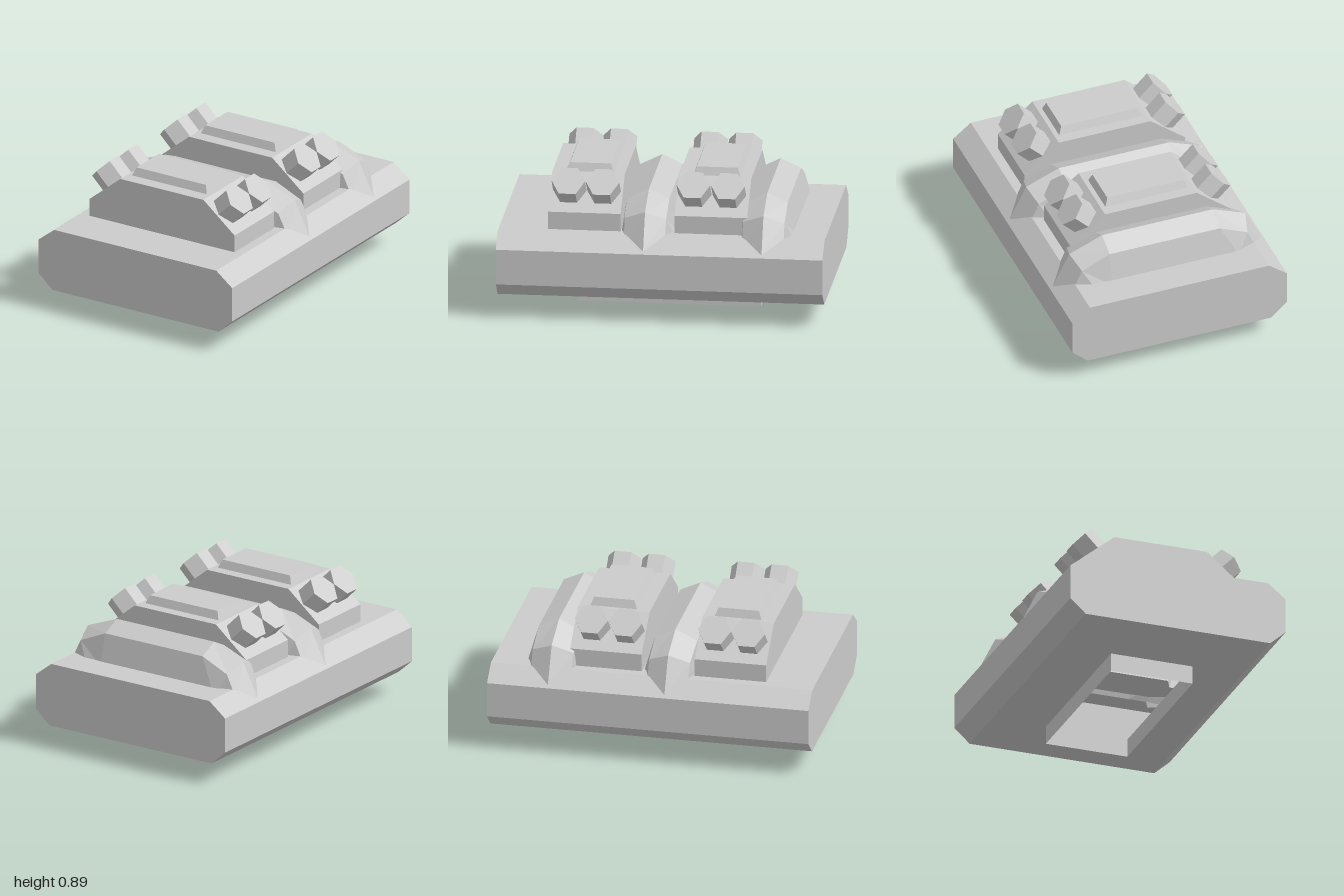
import * as THREE from 'three';

const solid = new THREE.MeshStandardMaterial({ color: 0xcccccc, flatShading: true });
const shell = new THREE.MeshStandardMaterial({ color: 0xcccccc, flatShading: true, side: THREE.DoubleSide });

function add(parent, name, geometry, material = solid) {
  const mesh = new THREE.Mesh(geometry, material);
  mesh.name = name;
  parent.add(mesh);
  return mesh;
}

// Flat-faced skin through cross-sections that have equal point counts
function loft(sections, closed = false) {
  const pos = [];
  const n = sections[0].length;
  for (let i = 0; i < sections.length - 1; i++) {
    for (let j = 0; j < (closed ? n : n - 1); j++) {
      const k = (j + 1) % n;
      const a = sections[i][j], b = sections[i][k], c = sections[i + 1][k], d = sections[i + 1][j];
      pos.push(...a, ...b, ...c, ...a, ...c, ...d);
    }
  }
  const g = new THREE.BufferGeometry();
  g.setAttribute('position', new THREE.Float32BufferAttribute(pos, 3));
  g.computeVertexNormals();
  return g;
}

const mirrored = (half) => [...half, ...half.map(([x, y]) => [-x, y]).reverse()];
const toShape = (pts) => new THREE.Shape(pts.map(([x, y]) => new THREE.Vector2(x, y)));
const ring = (x, y, zBack, zFront) => [[x, y, zBack], [x, y, zFront], [-x, y, zFront], [-x, y, zBack]];

// Box whose top is inset on all sides
function bevelledPlate(w, h, d, inset) {
  const g = new THREE.BoxGeometry(w, h, d);
  const p = g.attributes.position;
  for (let i = 0; i < p.count; i++) {
    if (p.getY(i) > 0) {
      p.setX(i, p.getX(i) - Math.sign(p.getX(i)) * inset);
      p.setZ(i, p.getZ(i) - Math.sign(p.getZ(i)) * inset);
    }
  }
  g.computeVertexNormals();
  return g;
}

// Hollow chamfered base with an open-bottomed collar
function makeBase() {
  const base = new THREE.Group();
  base.name = 'base';
  const profile = mirrored([[0.6, 0.13], [0.7, 0.22], [0.7, 0.44], [0.585, 0.53]]);
  add(base, 'baseSides', loft([-1, 1].map((z) => profile.map(([x, y]) => [x, y, z]))), shell);
  for (const s of [1, -1]) {
    const end = add(base, s > 0 ? 'baseFront' : 'baseBack', new THREE.ShapeGeometry(toShape(profile)), shell);
    end.position.z = s;
    if (s < 0) end.rotation.y = Math.PI;
  }
  const collarTop = ring(0.265, 0.115, -0.575, 0.55);
  add(base, 'baseUnderside', loft([ring(0.6, 0.13, -1, 1), collarTop], true), shell);
  add(base, 'collar', loft([collarTop, ring(0.265, 0, -0.575, 0.55)], true), shell);
  return base;
}

// Faceted rib across the deck, drooping over both edges
function makeRib(z) {
  const inner = [[0.36, 0.5, -0.175], [0.36, 0.7, -0.125], [0.36, 0.757, 0], [0.36, 0.69, 0.135], [0.36, 0.5, 0.155]];
  const shoulder = [[0.47, 0.5, -0.175], [0.54, 0.62, -0.125], [0.575, 0.672, 0], [0.54, 0.62, 0.13], [0.49, 0.5, 0.155]];
  const tip = [[0.48, 0.46, -0.17], [0.61, 0.47, -0.125], [0.68, 0.458, 0], [0.61, 0.47, 0.125], [0.5, 0.46, 0.15]];
  const flip = (section) => section.map(([x, y, pz]) => [-x, y, pz]);
  const g = loft([flip(tip), flip(shoulder), flip(inner), inner, shoulder, tip]);
  g.translate(0, 0, z);
  return g;
}

// Raised block with sloping shoulders, a top plate and four hexagonal studs
function makeBlock(zBack, zFront, zPlate, studs) {
  const block = new THREE.Group();
  block.name = 'block';
  const profile = mirrored([[0.525, 0.525], [0.525, 0.64], [0.3, 0.825]]);
  const body = new THREE.ExtrudeGeometry(toShape(profile), { depth: zFront - zBack, bevelEnabled: false });
  add(block, 'blockBody', body).position.z = zBack;
  add(block, 'topPlate', bevelledPlate(0.54, 0.05, 0.29, 0.02)).position.set(0, 0.85, zPlate);
  for (const z of studs) {
    for (const s of [1, -1]) {
      const stud = add(block, 'stud', new THREE.CylinderGeometry(0.103, 0.103, 0.18, 6));
      stud.rotation.z = -s * Math.PI / 4;
      stud.position.set(s * 0.421, 0.764, z);
    }
  }
  return block;
}

export function createModel() {
  const model = new THREE.Group();
  model.name = 'ribbedModule';
  model.add(makeBase());
  for (const z of [0.1, -0.625]) add(model, 'rib', makeRib(z), shell);
  model.add(makeBlock(0.255, 0.7, 0.47, [0.58, 0.37]));
  model.add(makeBlock(-0.52, -0.075, -0.305, [-0.185, -0.397]));
  return model;
}
